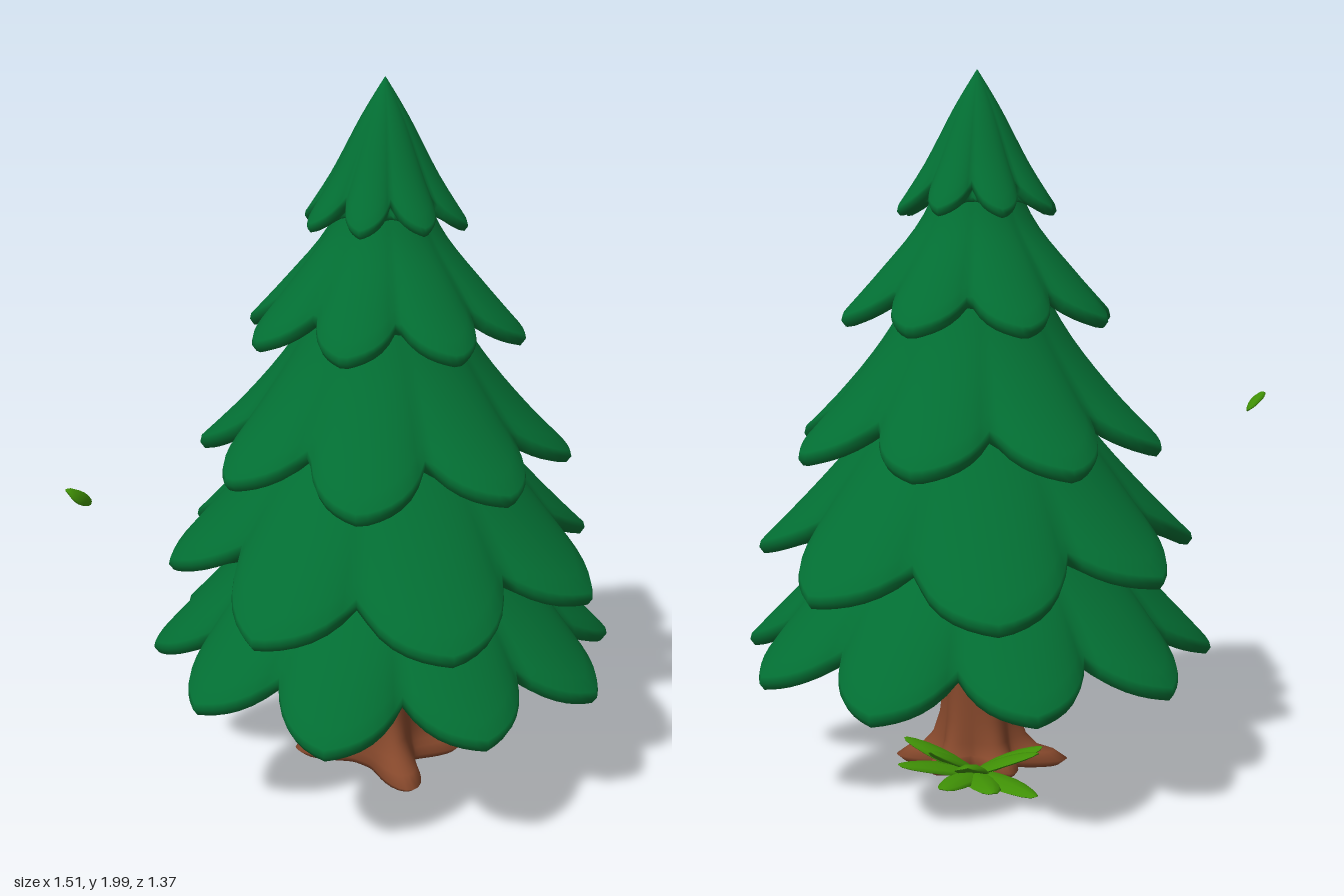
import * as THREE from 'three';

const mat = (name, color) => {
  const m = new THREE.MeshStandardMaterial({ color });
  m.name = name;
  return m;
};
const rad = THREE.MathUtils.degToRad;
const curve = points => new THREE.SplineCurve(points.map(p => new THREE.Vector2(...p)));

// Closed loft: point(i, angle) gives [radius, y], rows run from top to bottom
function loft(rows, cols, point) {
  const pos = [], idx = [];
  for (let i = 0; i < rows; i++) {
    for (let j = 0; j < cols; j++) {
      const a = (j / cols) * Math.PI * 2;
      const [r, y] = point(i, a);
      pos.push(r * Math.cos(a), y, r * Math.sin(a));
      if (i === rows - 1) continue;
      const k = (j + 1) % cols;
      const p = i * cols + j, q = i * cols + k;
      idx.push(p, q, p + cols, q, q + cols, p + cols);
    }
  }
  const g = new THREE.BufferGeometry();
  g.setAttribute('position', new THREE.Float32BufferAttribute(pos, 3));
  g.setIndex(idx);
  g.computeVertexNormals();
  return g;
}

// Ring of drooping pointed petals: outer slope, rounded lip, then the underside
function tierGeometry({ lobes, turn, profile, inner, lip, narrow }) {
  const slope = curve(profile);
  const start = rad(turn);
  const outer = 12, under = 8;
  return loft(outer + 2 + under, lobes * 14, (i, a) => {
    const u = lobes * (a - start) / (Math.PI * 2) + 0.5;
    const t = Math.abs(2 * (u - Math.floor(u)) - 1); // 0 at a tip, 1 in a notch
    const id = (Math.floor(u) + lobes) % lobes;
    const vary = 0.015 * Math.sin(id * 2.4 + turn) * (1 - t);
    const side = narrow * Math.cos(a) ** 2; // petals to the sides are shorter
    const reach = 0.98 + vary - side - 0.15 * t - 0.1 * t ** 3;
    const at = s => {
      const p = slope.getPoint(Math.min(1, s * reach));
      return [p.x * (1 - 0.06 * t * t * s * s), p.y - 0.015 * t * t * s * s];
    };
    if (i < outer) return at(i / (outer - 1));
    const [r, y] = at(1);
    if (i === outer) return [r + lip * 0.1, y - lip * 0.4];
    if (i === outer + 1) return [r - lip * 0.2, y - lip * 0.8];
    const belly = curve([[r - lip * 0.7, y - lip * 0.75], ...inner]);
    const p = belly.getPoint((i - outer - 2) / (under - 1));
    return [p.x, p.y];
  });
}

// Pointed leaf lying along +z, base at the origin, arched and curling down
function leafGeometry(length, width) {
  const g = new THREE.SphereGeometry(1, 10, 8);
  g.rotateX(Math.PI / 2);
  const p = g.attributes.position;
  for (let i = 0; i < p.count; i++) {
    const k = (p.getZ(i) + 1) / 2;
    const x = p.getX(i) * (1 - 0.35 * k) * width * 0.6;
    p.setXYZ(i, x, p.getY(i) * 0.011 - Math.abs(x) * 0.3 - 0.15 * length * k * k, k * length);
  }
  g.computeVertexNormals();
  return g;
}

export function createModel() {
  const green = mat('pine green', 0x036e33);
  const brown = mat('bark brown', 0x84472b);
  const lime = mat('leaf green', 0x3f8f06);
  const model = new THREE.Group();
  model.name = 'pineTree';

  const add = (parent, name, geometry, material) => {
    const m = new THREE.Mesh(geometry, material);
    m.name = name;
    parent.add(m);
    return m;
  };

  const tree = new THREE.Group();
  tree.name = 'tree';
  tree.position.set(0.095, 0, -0.005);
  model.add(tree);

  // Foliage tiers, top to bottom
  const tiers = [
    { lobes: 8, turn: 67, lip: 0.03, narrow: 0, inner: [[0.15, 1.64], [0.1, 1.66]],
      profile: [[0.001, 2], [0.066, 1.895], [0.148, 1.745], [0.232, 1.62]] },
    { lobes: 8, turn: 66, lip: 0.04, narrow: 0.03, inner: [[0.27, 1.365], [0.18, 1.39]],
      profile: [[0.09, 1.74], [0.16, 1.59], [0.278, 1.45], [0.405, 1.315]] },
    { lobes: 8, turn: 102, lip: 0.045, narrow: 0.06, inner: [[0.36, 1.03], [0.23, 1.07]],
      profile: [[0.14, 1.48], [0.255, 1.28], [0.395, 1.11], [0.555, 0.955]] },
    { lobes: 8, turn: 80, lip: 0.045, narrow: 0.17, inner: [[0.43, 0.72], [0.25, 0.77]],
      profile: [[0.21, 1.14], [0.375, 0.94], [0.535, 0.77], [0.7, 0.61]] },
    { lobes: 10, turn: 0, lip: 0.045, narrow: 0.08, inner: [[0.37, 0.49], [0.19, 0.45], [0.085, 0.33]],
      profile: [[0.23, 0.84], [0.425, 0.635], [0.56, 0.5], [0.695, 0.36]] },
  ];
  tiers.forEach((t, i) => add(tree, `foliageTier${i + 1}`, tierGeometry(t), green));

  // Trunk flaring into five roots: [heading, reach], and rows of [y, radius, flare]
  const roots = [[77, 0.165], [2, 0.135], [180, 0.15], [238, 0.1], [305, 0.1]];
  const trunkRows = [[0.5, 0.095, 0], [0.36, 0.095, 0.02], [0.25, 0.095, 0.06], [0.17, 0.098, 0.12],
    [0.11, 0.102, 0.24], [0.075, 0.105, 0.45], [0.05, 0.108, 0.75], [0.025, 0.108, 1],
    [0.008, 0.1, 0.9], [0.015, 0.001, 0]];
  add(tree, 'trunk', loft(trunkRows.length, 90, (i, a) => {
    const [y, r, flare] = trunkRows[i];
    let reach = 0;
    for (const [heading, length] of roots) {
      const d = Math.abs(a - rad(heading));
      reach = Math.max(reach, length * Math.exp(-((Math.min(d, Math.PI * 2 - d) / 0.36) ** 2)));
    }
    const lift = flare > 0.5 ? 0.013 * (1 - Math.sin(a)) : 0;
    return [r + flare * reach, y + lift];
  }), brown);

  // Low leafy plant behind the trunk: [heading, rise, length] in degrees and units
  const plant = new THREE.Group();
  plant.name = 'plant';
  plant.position.set(0.09, 0.055, -0.18);
  model.add(plant);
  const leaves = [[98, 36, 0.22], [122, 22, 0.24], [143, 38, 0.2], [160, 12, 0.2], [180, 30, 0.2],
    [200, 10, 0.2], [225, 8, 0.26], [240, 32, 0.23], [262, 32, 0.21]];
  leaves.forEach(([heading, rise, length], i) => {
    const leaf = add(plant, `plantLeaf${i + 1}`, leafGeometry(length, 0.095), lime);
    leaf.rotation.set(-rad(rise), rad(heading), 0, 'YXZ');
  });

  // Single leaf drifting in the air
  const drifting = add(model, 'driftingLeaf', leafGeometry(0.1, 0.06), lime);
  drifting.position.set(-0.74, 1.045, 0.56);
  drifting.rotation.set(0.35, 2.5, 0.55, 'YXZ');

  return model;
}
